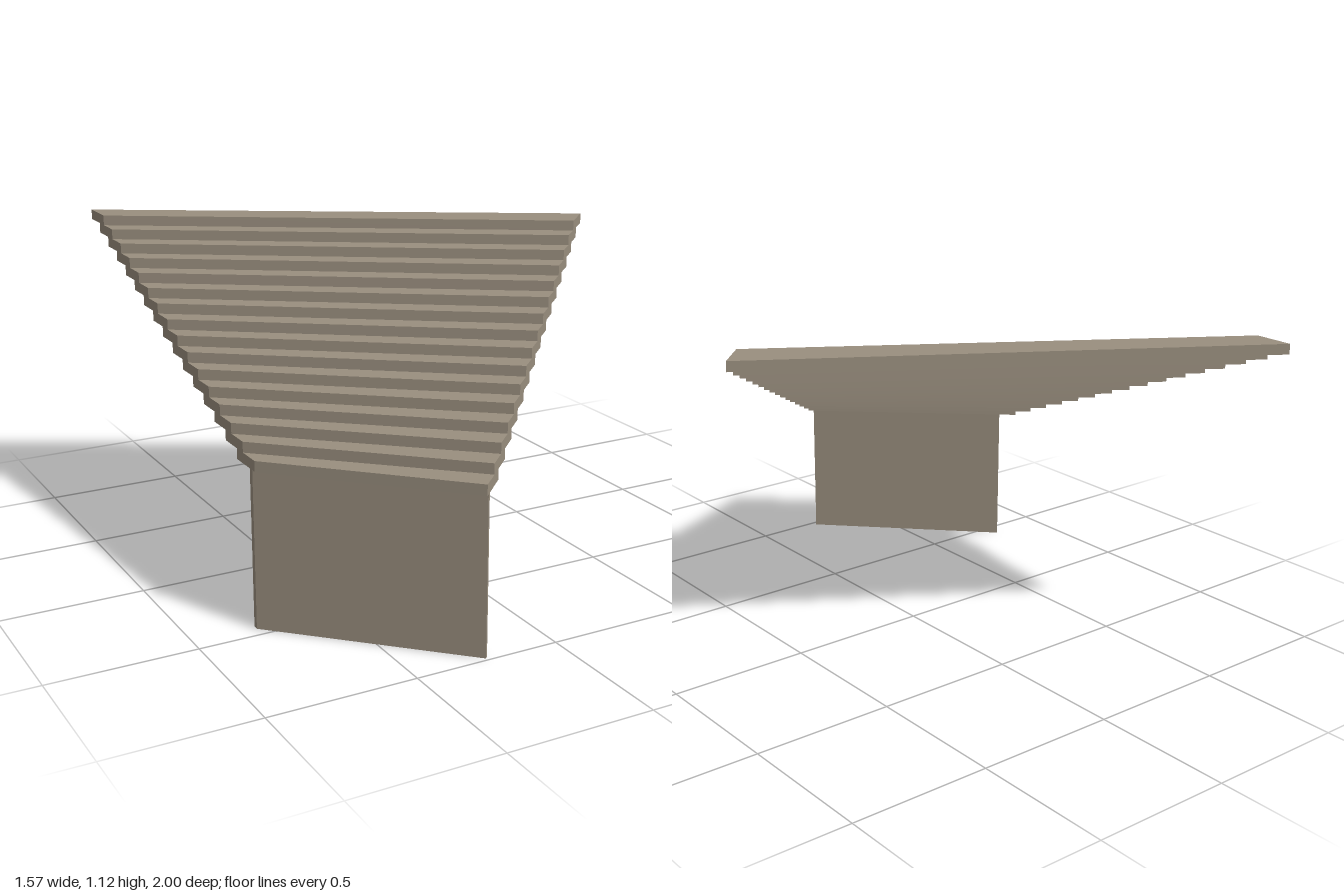
import * as THREE from 'three';

const material = new THREE.MeshStandardMaterial({ color: 0x9a8f7f, flatShading: true });

// Upright prism over a plan outline of [x, z] points
function prism(name, plan, y, height) {
  const shape = new THREE.Shape(plan.map(([x, z]) => new THREE.Vector2(x, -z)));
  const geometry = new THREE.ExtrudeGeometry(shape, { depth: height, bevelEnabled: false });
  geometry.rotateX(-Math.PI / 2);
  geometry.translate(0, y, 0);
  const mesh = new THREE.Mesh(geometry, material);
  mesh.name = name;
  return mesh;
}

export function createModel() {
  const group = new THREE.Group();
  group.name = 'fanStaircase';

  const steps = 16, base = 0.541, top = 1.12;
  const rise = (top - base) / steps;
  const leftX = -0.784;

  // Treads: overlapping slabs that widen and turn as they climb
  for (let i = 0; i < steps; i++) {
    const noseZ = 0.475 - 0.0892 * i;
    const backZ = noseZ - 0.137;
    const noseX = -0.262 + 0.0628 * i;
    const backX = noseX + 0.103;
    group.add(prism(`step${i + 1}`, [
      [leftX, noseZ],
      [noseX, 0.738 - noseX],
      [backX, 0.738 - backX],
      [leftX, backZ],
    ], base + i * rise, rise));
  }

  // Thin wall carrying the lowest step
  group.add(prism('supportWall', [
    [leftX, 0.456], [-0.251, 0.989], [-0.241, 0.979], [leftX, 0.437],
  ], 0, base));

  return group;
}
